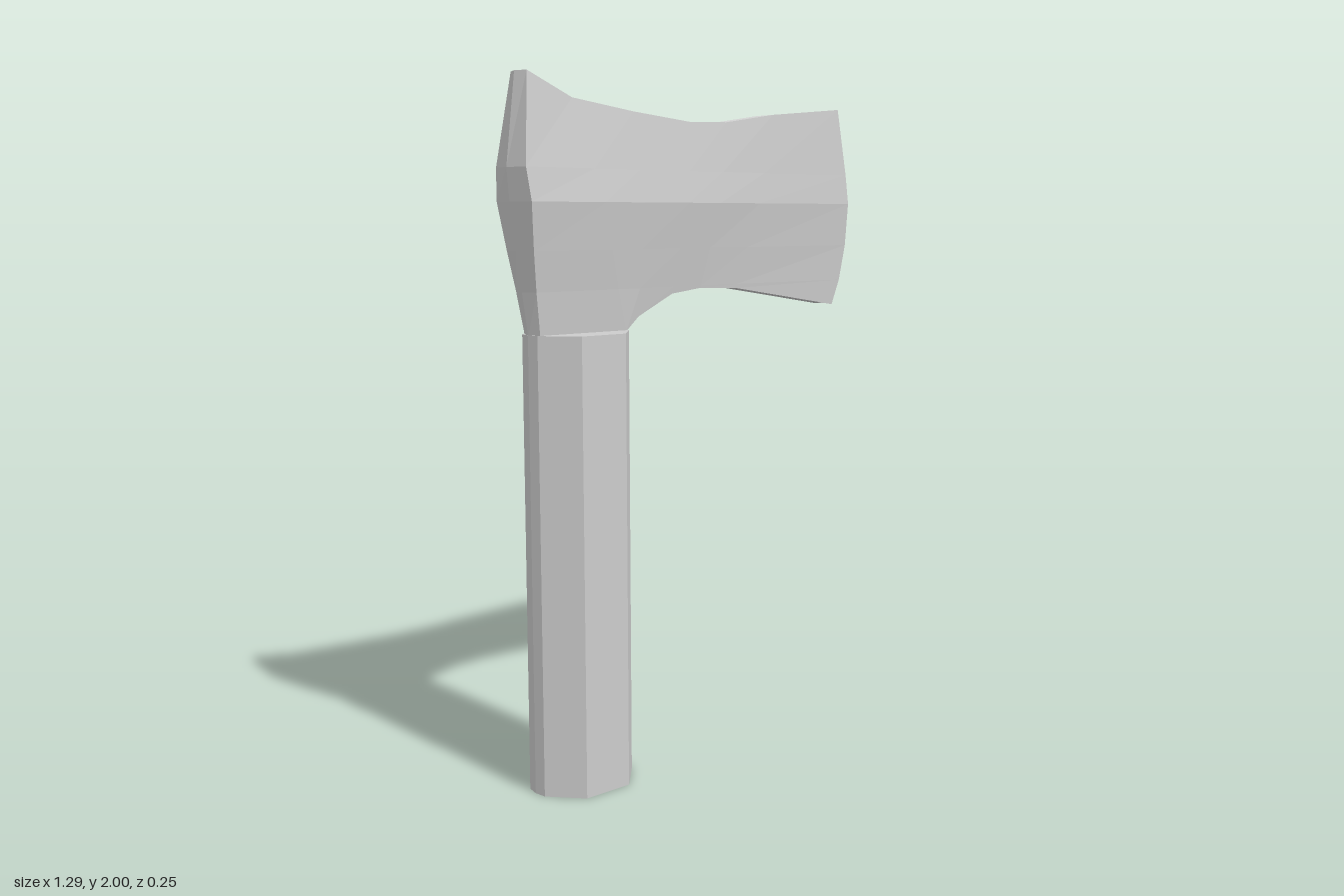
import * as THREE from 'three';

const lerp = THREE.MathUtils.lerp;
const EDGE = 0.037;                       // half thickness along top and bottom rims
const ROWS = [1.75, 1.66, 1.53, 1.42];    // heights of the cheek rows
const MID = 1.66;                         // height of the thickest row

// Columns from poll to bit: top [x, y], bottom [x, y], optional x of the rows
const COLUMNS = [
  { top: [-0.605, 2.0], bottom: [-0.575, 1.3], xs: [-0.635, -0.627, -0.61, -0.593] },
  { top: [-0.46, 1.937], bottom: [-0.28, 1.3] },
  { top: [-0.25, 1.91], bottom: [-0.235, 1.34] },
  { top: [-0.04, 1.89], bottom: [-0.11, 1.4] },
  { top: [0.1, 1.895], bottom: [0.0, 1.413] },
  { top: [0.29, 1.925], bottom: [0.14, 1.408] },
  { top: [0.575, 1.953], bottom: [0.56, 1.342], xs: [0.599, 0.605, 0.603, 0.586] },
];

// Closed ring around one column; flat rings (z = 0) form the end ridges
function ring({ top, bottom, xs }, flat = false, dx = 0) {
  const half = lerp(0.083, 0.06, (top[0] + 0.61) / 1.18);
  const low = Math.max(bottom[1], 1.34);
  const side = [[top[0], top[1], EDGE]];
  ROWS.forEach((y, k) => {
    const x = xs ? xs[k] : lerp(top[0], bottom[0], (top[1] - y) / (top[1] - bottom[1]));
    const t = y > MID ? (top[1] - y) / (top[1] - MID) : (y - low) / (MID - low);
    side.push([x, y, lerp(EDGE, half, t)]);
  });
  side.push([bottom[0], bottom[1], EDGE]);
  const back = side.map(([x, y, z]) => [x, y, -z]).reverse();
  const points = [
    [top[0], top[1] - 0.01, 0], ...side,
    [bottom[0], bottom[1] + 0.005, 0], ...back,
  ];
  return points.map(([x, y, z]) => [x + dx, y, flat ? 0 : z]);
}

// Skin a row of closed rings
function loft(rings) {
  const n = rings[0].length;
  const index = [];
  for (let i = 0; i < rings.length - 1; i++) {
    for (let j = 0; j < n; j++) {
      const a = i * n + j, b = i * n + (j + 1) % n;
      index.push(a, b, a + n, b, b + n, a + n);
    }
  }
  const geometry = new THREE.BufferGeometry();
  geometry.setAttribute('position', new THREE.Float32BufferAttribute(rings.flat(2), 3));
  geometry.setIndex(index);
  geometry.computeVertexNormals();
  return geometry;
}

export function createModel() {
  const group = new THREE.Group();
  group.name = 'axe';
  const material = new THREE.MeshStandardMaterial({ color: 0xcccccc, flatShading: true });

  // Head: poll ridge, cheeks, sharpened bit
  const head = new THREE.Mesh(loft([
    ring(COLUMNS[0], true, -0.014),
    ...COLUMNS.map((c) => ring(c)),
    ring(COLUMNS[COLUMNS.length - 1], true, 0.038),
  ]), material);
  head.name = 'axeHead';
  group.add(head);

  // Handle: faceted prism, broad faces to front and back
  const quarter = [[0.163, 0], [0.157, 0.036], [0.075, 0.126]];
  const outline = [
    ...quarter,
    ...quarter.map(([x, z]) => [-x, z]).reverse(),
    ...quarter.slice(1).map(([x, z]) => [-x, -z]),
    ...quarter.slice(1).map(([x, z]) => [x, -z]).reverse(),
  ].map(([x, z]) => new THREE.Vector2(x, z));
  const prism = new THREE.ExtrudeGeometry(new THREE.Shape(outline), { depth: 1.303, bevelEnabled: false });
  prism.rotateX(-Math.PI / 2);
  const handle = new THREE.Mesh(prism, material);
  handle.name = 'handle';
  handle.position.x = -0.427;
  group.add(handle);

  return group;
}
